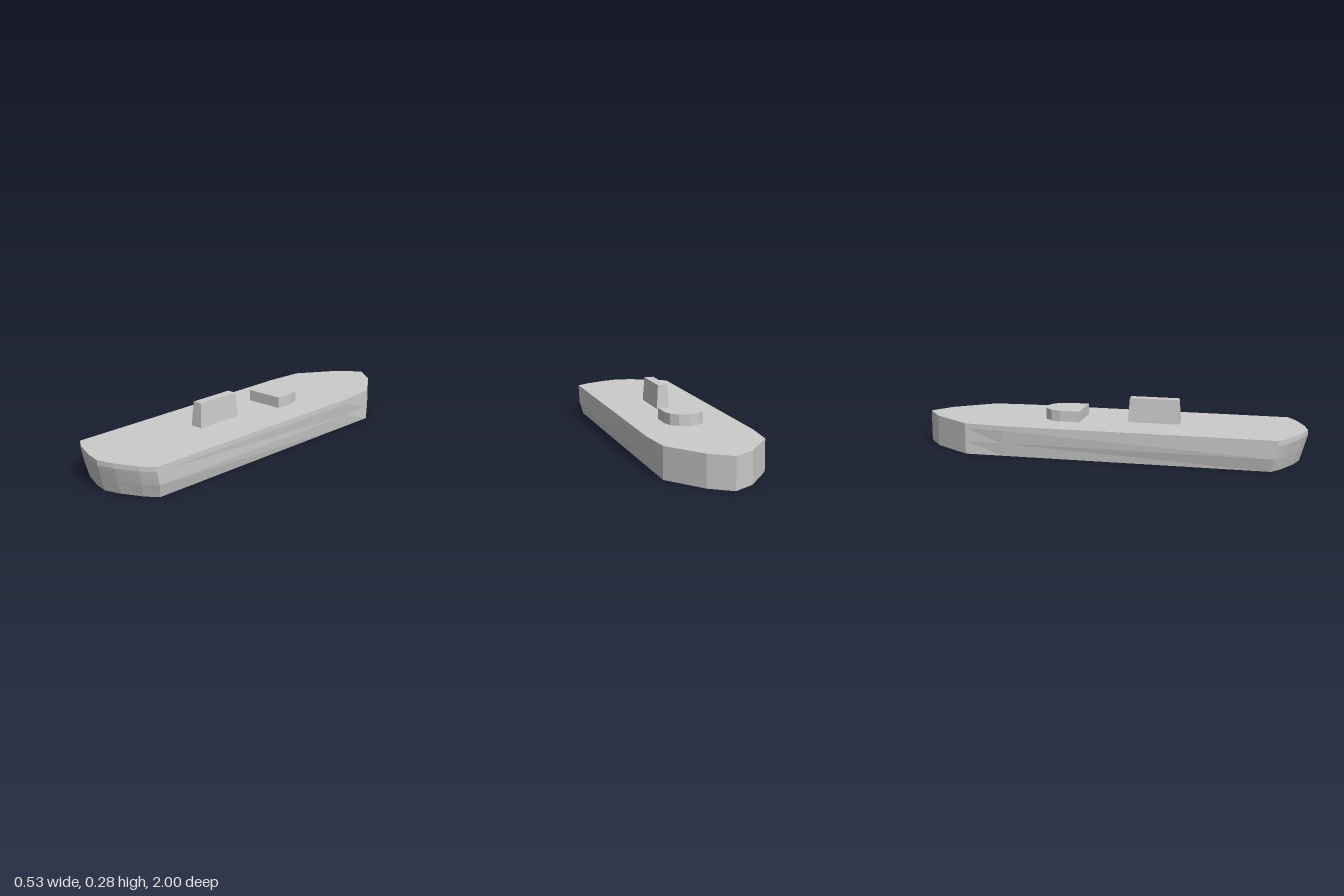
import * as THREE from 'three';

const grey = new THREE.MeshStandardMaterial({ color: 0xcccccc, flatShading: true });
const DECK = 0.16;

// Half outlines [x, z] from the pointed end (-z) to the rounded end (+z)
const deckLine = [[0, -1], [0.11, -0.92], [0.25, -0.72], [0.267, -0.52], [0.267, 0.877], [0.2, 0.925], [0.09, 0.975], [0, 1]];
const chineLine = [[0, -1], [0.11, -0.92], [0.25, -0.72], [0.2585, -0.52], [0.267, 0.86], [0.197, 0.908], [0.087, 0.957], [0, 0.98]];
const keelLine = [[0, -1], [0.11, -0.92], [0.25, -0.72], [0.25, -0.52], [0.25, 0.845], [0.19, 0.888], [0.082, 0.938], [0, 0.96]];

// Mirror a half outline into a closed ring at height y
function ring(half, y) {
  const left = half.map(([x, z]) => new THREE.Vector3(x, y, z));
  const right = half.slice(1, -1).reverse().map(([x, z]) => new THREE.Vector3(-x, y, z));
  return [...left, ...right];
}

// Hull skinned between rings, capped by the deck and the flat bottom
function hullGeometry() {
  const rings = [ring(keelLine, 0), ring(chineLine, 0.067), ring(deckLine, 0.135), ring(deckLine, DECK)];
  const points = [];
  const n = rings[0].length;
  const bottomCentre = new THREE.Vector3(0, 0, 0);
  const deckCentre = new THREE.Vector3(0, DECK, 0);
  for (let i = 0; i < n; i++) {
    const j = (i + 1) % n;
    for (let k = 0; k < rings.length - 1; k++) {
      const lower = rings[k], upper = rings[k + 1];
      points.push(lower[i], upper[i], upper[j], lower[i], upper[j], lower[j]);
    }
    points.push(bottomCentre, rings[0][i], rings[0][j]);
    points.push(deckCentre, rings[3][j], rings[3][i]);
  }
  const geometry = new THREE.BufferGeometry().setFromPoints(points);
  geometry.computeVertexNormals();
  return geometry;
}

// Low deckhouse with a half-round end
function deckhouseGeometry() {
  const shape = new THREE.Shape();
  shape.moveTo(-0.1, 0.155);
  shape.lineTo(0.1, 0.155);
  shape.lineTo(0.1, 0.257);
  shape.absarc(0, 0.257, 0.1, 0, Math.PI, false);
  shape.closePath();
  const geometry = new THREE.ExtrudeGeometry(shape, { depth: 0.057, bevelEnabled: false, curveSegments: 3 });
  return geometry.rotateX(-Math.PI / 2).translate(0, DECK, 0);
}

// Narrow funnel block, tapering upward
function funnelGeometry() {
  const geometry = new THREE.BoxGeometry(0.066, 0.125, 0.266);
  const p = geometry.attributes.position;
  for (let i = 0; i < p.count; i++) {
    if (p.getY(i) > 0) {
      p.setX(i, p.getX(i) * 0.76);
      p.setZ(i, p.getZ(i) * 0.94);
    }
  }
  geometry.computeVertexNormals();
  return geometry.translate(0, DECK + 0.0625, 0.219);
}

export function createModel() {
  const group = new THREE.Group();
  group.name = 'ship';
  const parts = { hull: hullGeometry(), deckhouse: deckhouseGeometry(), funnel: funnelGeometry() };
  for (const [name, geometry] of Object.entries(parts)) {
    const mesh = new THREE.Mesh(geometry, grey);
    mesh.name = name;
    group.add(mesh);
  }
  return group;
}
